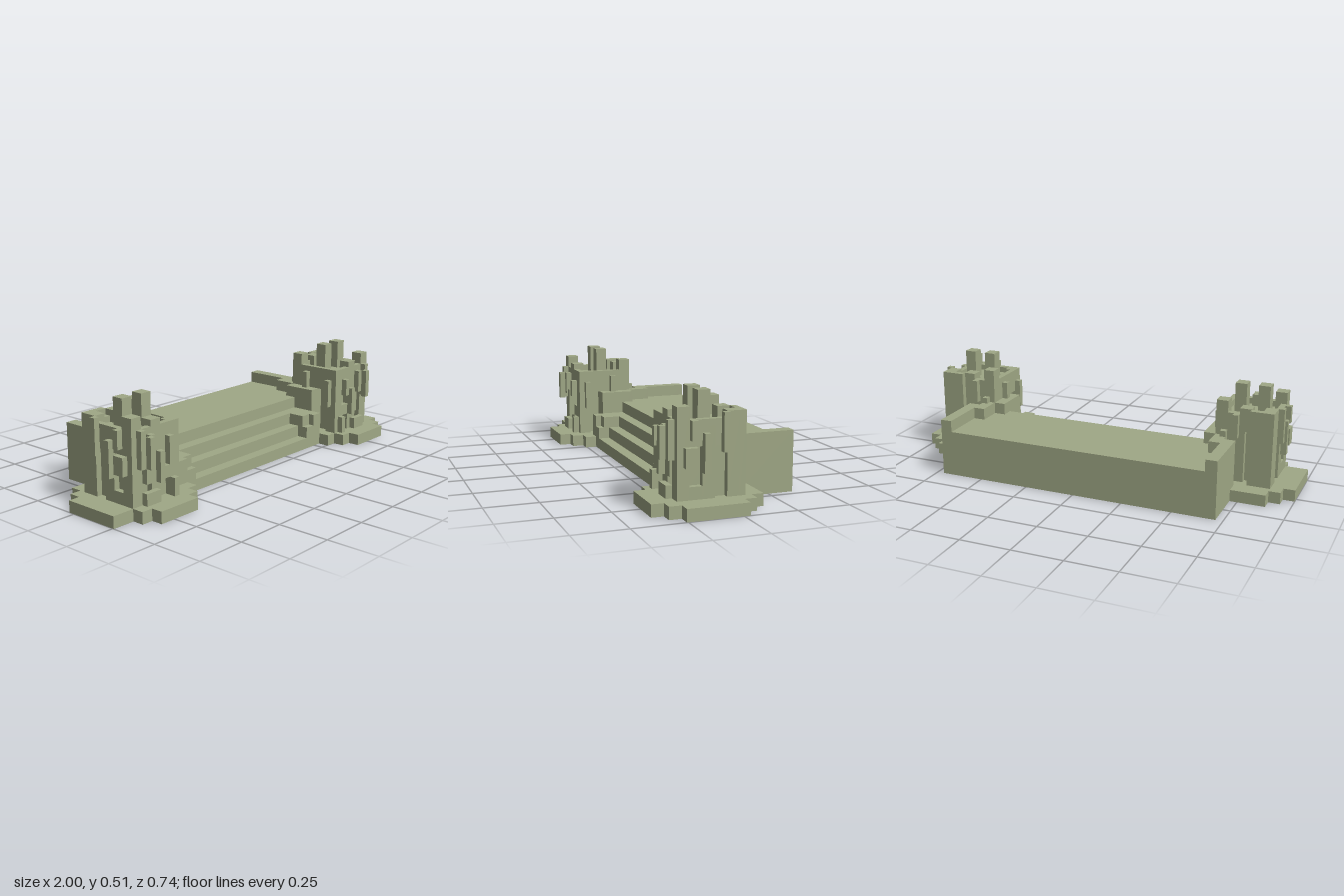
import * as THREE from 'three';
import { mergeGeometries } from 'three/addons/utils/BufferGeometryUtils.js';

// One block unit; the model is 70 units long
const U = 1 / 35;
const stone = new THREE.MeshStandardMaterial({ color: 0xa0a886 });
stone.name = 'mossy stone';

// Boxes are given as [x0, x1, y0, y1, z0, z1] in block units
function blocks(name, list, side = 1) {
  const geos = list.map(([x0, x1, y0, y1, z0, z1]) =>
    new THREE.BoxGeometry((x1 - x0) * U, (y1 - y0) * U, (z1 - z0) * U)
      .translate(side * (x0 + x1) / 2 * U, (y0 + y1) / 2 * U, (z0 + z1) / 2 * U));
  const mesh = new THREE.Mesh(mergeGeometries(geos), stone);
  mesh.name = name;
  return mesh;
}

function tower(side) {
  const g = new THREE.Group();
  g.name = side > 0 ? 'leftTower' : 'rightTower';
  const add = (name, list) => g.add(blocks(name, list, side));

  // Stepped round footing, one box per row
  const rightFoot = side < 0;
  add('footing', [
    [21, 31, 0, 2, -5, -3], [21, 33, 0, 2, -3, -1], [19, 35, 0, 2, -1, 7],
    [rightFoot ? 17 : 19, 35, 0, 2, 7, 9],
    [rightFoot ? 19 : 21, rightFoot ? 31 : 33, 0, 2, 9, 11],
    [rightFoot ? 21 : 23, rightFoot ? 29 : 31, 0, 2, 11, 13],
  ]);

  // Solid core with corner columns and mid-wall pillars
  add('core', [[22, 30, 2, 13, 0, 8]]);
  add('cornerColumns', [
    [29, 31, 2, 16, 7, 9], [21, 23, 2, 16, -1, 1],
    [21, 23, 2, 14, 7, 9], [29, 31, 2, 15, -1, 1],
  ]);
  add('pillars', [
    [30, 31, 2, 13, 3, 5], [21, 22, 2, 13, 3, 5],
    [25, 27, 2, 13, 8, 9], [23, 26, 2, 13, -1, 0],
    [30, 31, 10, 14, 1, 7], [21, 22, 10, 14, 1, 7],
    [23, 29, 11, 14, 8, 9], [23, 29, 11, 14, -1, 0],
  ]);
  add('rearSlab', [[27, 31, 2, 15, -2, -1]]);
  add('merlons', [
    [23, 25, 13, 18, 3, 5], [27, 29, 13, 18, 3, 5],
    [25, 27, 13, 15, 7, 9], [25, 27, 13, 15, -1, 1],
  ]);

  // Broken stones and vines standing out from the walls
  add('looseStones', [
    [31, 32, 6, 12, 4, 5], [31, 32, 9, 15, 1, 2], [31, 32, 7, 10, 6, 8],
    [30, 31, 2, 4, 5, 8], [31, 32, 11, 14, 6, 7],
    [29, 30, 8, 14, 9, 10], [27, 28, 9, 13, 9, 10], [28, 29, 8, 13, 10, 11],
    [25, 26, 5, 10, 9, 10], [23, 24, 9, 12, 9, 10], [22, 23, 2, 5, 9, 10],
    [26, 29, 2, 4, 9, 10], [23, 25, 5, 7, 8, 9], [27, 28, 5, 9, 8, 9],
    [20, 21, 7, 12, 7, 8], [20, 21, 10, 13, 2, 3], [24, 25, 10, 14, -2, -1],
    [22, 23, 7, 11, -2, -1],
  ]);
  return g;
}

export function createModel() {
  const model = new THREE.Group();
  model.name = 'ruinedGate';

  // Broad platform
  model.add(blocks('platform', [[-23, 23, 0, 8, -13, -5], [-21, 21, 0, 8, -5, 1]]));

  // Steps falling to the front
  model.add(blocks('steps', [
    [-19, 19, 0, 6, 1, 3], [-17, 17, 0, 4, 3, 5], [-17, 17, 0, 2, 5, 7],
  ]));

  for (const side of [1, -1]) {
    // Raised edge that steps inward towards the tower
    model.add(blocks('curb', [
      [23, 25, 0, 10, -13, -3], [21, 23, 0, 10, -5, -1], [19, 21, 0, 10, -1, 5],
    ], side));
    // Blocks closing the ends of the steps
    model.add(blocks('stepEnd', [[15, 17, 0, 6, 3, 6], [17, 19, 0, 6, 3, 7], [15, 17, 0, 4, 6, 7]], side));
    model.add(tower(side));
  }
  return model;
}
